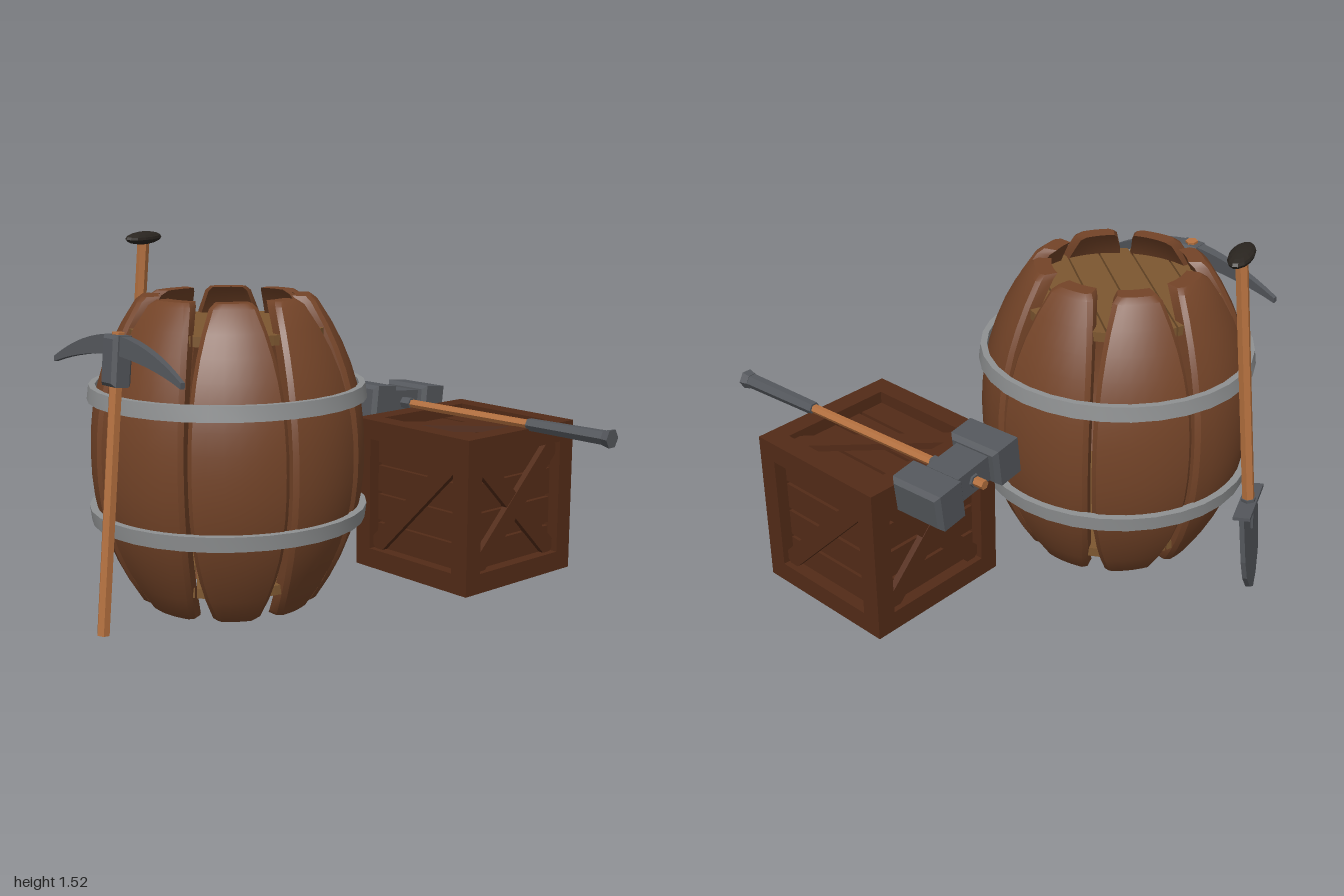
import * as THREE from 'three';
import { toCreasedNormals } from 'three/addons/utils/BufferGeometryUtils.js';

const mat = (color, flatShading = true) => new THREE.MeshStandardMaterial({ color, flatShading });
const STAVE = mat(0x744428, false), LID = mat(0x7d5730), HOOP = mat(0x8f9192, false);
const CRATE = mat(0x532b17), WOOD = mat(0xb5713f), STEEL = mat(0x54575c), GRIP = mat(0x2a2520);

function add(parent, name, geo, material, x = 0, y = 0, z = 0) {
  const m = new THREE.Mesh(geo, material);
  m.name = name;
  m.position.set(x, y, z);
  parent.add(m);
  return m;
}
function group(parent, name, x = 0, y = 0, z = 0) {
  const g = new THREE.Group();
  g.name = name;
  g.position.set(x, y, z);
  parent.add(g);
  return g;
}
const box = (x, y, z) => new THREE.BoxGeometry(x, y, z);

// Box with chamfered edges
function chamferBox(w, h, d, b) {
  const s = new THREE.Shape([[-1, -1], [1, -1], [1, 1], [-1, 1]].map(
    ([x, y]) => new THREE.Vector2(x * (w / 2 - b), y * (h / 2 - b))));
  return new THREE.ExtrudeGeometry(s, { depth: d - 2 * b, bevelSize: b, bevelThickness: b, bevelSegments: 1 })
    .translate(0, 0, b - d / 2);
}

// Curved barrel stave between two angles (degrees), lofted from bottom to top
function staveGeometry(a0, a1) {
  const H = 0.645, thick = 0.07, arc = 8, rows = [-H, -H + 0.02];
  for (let i = 1; i < 14; i++) rows.push((-1 + i / 7) * (H - 0.02));
  rows.push(H - 0.02, H);
  const mid = THREE.MathUtils.degToRad((a0 + a1) / 2), span = THREE.MathUtils.degToRad(a1 - a0) / 2;
  const pos = [], index = [], n = 2 * (arc + 1);
  rows.forEach((v, j) => {
    const t = Math.abs(v) / H, end = j === 0 || j === rows.length - 1;
    const r = 0.57 - 0.21 * t ** 2.2 - (end ? 0.012 : 0);
    const half = span - (0.008 + 0.035 * t ** 3 + (end ? 0.01 : 0)) / r;
    for (let k = 0; k < n; k++) {
      const outer = k <= arc, i = outer ? k : n - 1 - k;
      let u = (i - 1) / (arc - 2) * 2 - 1, rr = outer ? r : r - thick;
      const edge = i === 0 || i === arc;
      if (edge) { u = i ? 1 : -1; if (outer) rr -= 0.015; } else u *= 1 - 0.02 / (r * half);
      const a = mid + u * half;
      pos.push(Math.sin(a) * rr, v, Math.cos(a) * rr);
    }
  });
  const quad = (a, b, c, d) => index.push(a, b, c, a, c, d);
  for (let j = 0; j < rows.length - 1; j++) {
    for (let k = 0; k < n; k++) {
      const l = (k + 1) % n;
      quad(j * n + k, j * n + l, (j + 1) * n + l, (j + 1) * n + k);
    }
  }
  const top = (rows.length - 1) * n;
  for (let k = 0; k < arc; k++) {
    quad(top + k, top + k + 1, top + n - 2 - k, top + n - 1 - k);
    quad(k, n - 1 - k, n - 2 - k, k + 1);
  }
  const g = new THREE.BufferGeometry();
  g.setAttribute('position', new THREE.Float32BufferAttribute(pos, 3));
  g.setIndex(index);
  return toCreasedNormals(g, 0.5);
}

function buildBarrel(root) {
  const barrel = group(root, 'barrel', -0.21, 0.655, 0.29);
  const joints = [15, 63, 102, 145, 193, 238, 287, 331, 375];
  for (let i = 0; i < 8; i++) {
    add(barrel, 'stave', staveGeometry(180 - joints[i + 1], 180 - joints[i]), STAVE);
  }
  // Metal bands
  for (const s of [1, -1]) {
    const profile = [[0.545, -0.031], [0.58, -0.031], [0.572, 0.031], [0.545, 0.031], [0.545, -0.031]]
      .map(([r, y]) => new THREE.Vector2(r, y * s));
    if (s < 0) profile.reverse();
    add(barrel, 'hoop', toCreasedNormals(new THREE.LatheGeometry(profile, 32), 0.5), HOOP, 0, 0.255 * s - 0.002, 0);
  }
  // Plank lids set inside both ends
  for (const y of [0.485, -0.525]) {
    const lid = group(barrel, 'lid', 0, y, 0);
    lid.rotation.y = -0.65;
    const R = 0.42, w = 2 * R / 6;
    for (let i = 0; i < 6; i++) {
      const right = [], left = [];
      for (let k = 0; k <= 4; k++) {
        const s = -R + i * w + 0.004 + (w - 0.008) * k / 4, c = Math.sqrt(R * R - s * s);
        right.push(new THREE.Vector2(c, s));
        left.unshift(new THREE.Vector2(-c, s));
      }
      const geo = new THREE.ExtrudeGeometry(new THREE.Shape([...right, ...left]), { depth: 0.04, bevelEnabled: false });
      add(lid, 'lidPlank', geo.rotateX(-Math.PI / 2), LID);
    }
  }
}

function buildCrate(root) {
  const S = 0.665, B = 0.085, o = (S - B) / 2, L = S - 2 * B;
  const crate = group(root, 'crate', 0.245, 0.39, -0.665);
  add(crate, 'crateCore', box(0.52, 0.52, 0.52), CRATE);
  for (const a of [-o, o]) {
    for (const b of [-o, o]) {
      add(crate, 'post', box(B, S, B), CRATE, a, 0, b);
      add(crate, 'railAcross', box(L, B, B), CRATE, 0, a, b);
      add(crate, 'railDeep', box(B, B, L), CRATE, a, b, 0);
    }
  }
  // Six panels: slats with one diagonal brace, or a cross on the two sides
  const q = Math.PI / 2;
  const panels = [[0, 0, 1], [0, 2 * q, 1], [0, q, 2], [0, -q, 2], [-q, 0, 1], [q, 0, 1]];
  for (const [rx, ry, braces] of panels) {
    const panel = group(crate, 'panel');
    panel.rotation.set(rx, ry, 0);
    for (let i = 0; i < 4; i++) add(panel, 'slat', box(0.5, 0.115, 0.03), CRATE, 0, (i - 1.5) * 0.13, 0.265);
    for (let i = 0; i < braces; i++) {
      const brace = add(panel, 'brace', box(0.68, 0.08, 0.03), CRATE, 0, 0, 0.293 - i * 0.003);
      brace.rotation.z = (i ? -1 : 1) * Math.PI / 4;
    }
  }
}

function buildHammer(root) {
  const hammer = group(root, 'hammer', 0.31, 0.738, -0.703);
  hammer.rotation.y = 0.056;
  const rod = (r0, r1, len) => new THREE.CylinderGeometry(r0, r1, len, 6).rotateZ(-Math.PI / 2);
  add(hammer, 'hammerHandle', rod(0.02, 0.02, 0.96), WOOD, -0.19, 0, 0);
  add(hammer, 'hammerGrip', rod(0.032, 0.028, 0.39), STEEL, 0.45, 0, 0);
  add(hammer, 'hammerPommel', rod(0.042, 0.034, 0.035), STEEL, 0.655, 0, 0);
  const head = group(hammer, 'hammerHead', -0.535, 0, 0);
  head.rotation.x = -0.12;
  add(head, 'headCore', chamferBox(0.16, 0.11, 0.24, 0.02), STEEL);
  add(head, 'headCollar', rod(0.028, 0.028, 0.22), STEEL, 0.02, 0, 0);
  for (const s of [-1, 1]) add(head, 'hammerFace', chamferBox(0.24, 0.16, 0.15, 0.018), STEEL, 0, 0, 0.165 * s);
}

function buildPickaxe(root) {
  const pick = group(root, 'pickaxe', -0.157, 0.005, 0.965);
  pick.rotation.x = -0.09;
  add(pick, 'pickHandle', new THREE.CylinderGeometry(0.027, 0.027, 1.2, 6), WOOD, 0, 0.6, 0);
  add(pick, 'pickSocket', chamferBox(0.095, 0.2, 0.09, 0.015), STEEL, 0, 1.09, 0);
  // Curved blade, thinned toward both tips
  const s = new THREE.Shape();
  s.moveTo(-0.44, 1.035);
  s.quadraticCurveTo(-0.25, 1.1, 0, 1.115);
  s.quadraticCurveTo(0.25, 1.1, 0.43, 1.035);
  s.lineTo(0.43, 1.058);
  s.quadraticCurveTo(0.22, 1.18, 0, 1.192);
  s.quadraticCurveTo(-0.22, 1.18, -0.44, 1.058);
  const geo = new THREE.ExtrudeGeometry(s, { depth: 0.05, bevelEnabled: false, curveSegments: 8 }).translate(0, 0, -0.025);
  const p = geo.attributes.position;
  for (let i = 0; i < p.count; i++) p.setZ(i, p.getZ(i) * (1 - 1.4 * Math.abs(p.getX(i))));
  geo.computeVertexNormals();
  add(pick, 'pickBlade', geo, STEEL);
}

function buildShovel(root) {
  const shovel = group(root, 'shovel', -0.94, 0.02, 0.325);
  const dir = new THREE.Vector3(0.145, 1.48, -0.035).normalize(), up = new THREE.Vector3(0, 1, 0);
  shovel.quaternion.setFromUnitVectors(up, dir)
    .multiply(new THREE.Quaternion().setFromAxisAngle(up, 0.41));
  add(shovel, 'shovelHandle', new THREE.CylinderGeometry(0.026, 0.026, 1.12, 6), WOOD, 0, 0.92, 0);
  add(shovel, 'shovelSocket', new THREE.CylinderGeometry(0.032, 0.02, 0.14, 6), STEEL, 0, 0.36, 0);
  const grip = new THREE.SphereGeometry(1, 14, 8).scale(0.05, 0.027, 0.125);
  add(shovel, 'shovelGrip', grip, GRIP, 0, 1.485, 0);
  // Pointed blade with a folded step along its top
  const outline = [[0, 0], [0.06, 0.035], [0.115, 0.11], [0.135, 0.2], [0.14, 0.41],
    [-0.14, 0.41], [-0.135, 0.2], [-0.115, 0.11], [-0.06, 0.035]].map(([x, y]) => new THREE.Vector2(x, y));
  const blade = new THREE.ExtrudeGeometry(new THREE.Shape(outline), { depth: 0.02, bevelEnabled: false });
  add(shovel, 'shovelBlade', blade.translate(0, 0, -0.01).rotateY(Math.PI / 2), STEEL);
  add(shovel, 'shovelStep', box(0.07, 0.014, 0.285), STEEL, 0, 0.41, 0);
}

export function createModel() {
  const root = new THREE.Group();
  root.name = 'barrelCrateAndTools';
  buildBarrel(root);
  buildCrate(root);
  buildHammer(root);
  buildPickaxe(root);
  buildShovel(root);
  return root;
}
